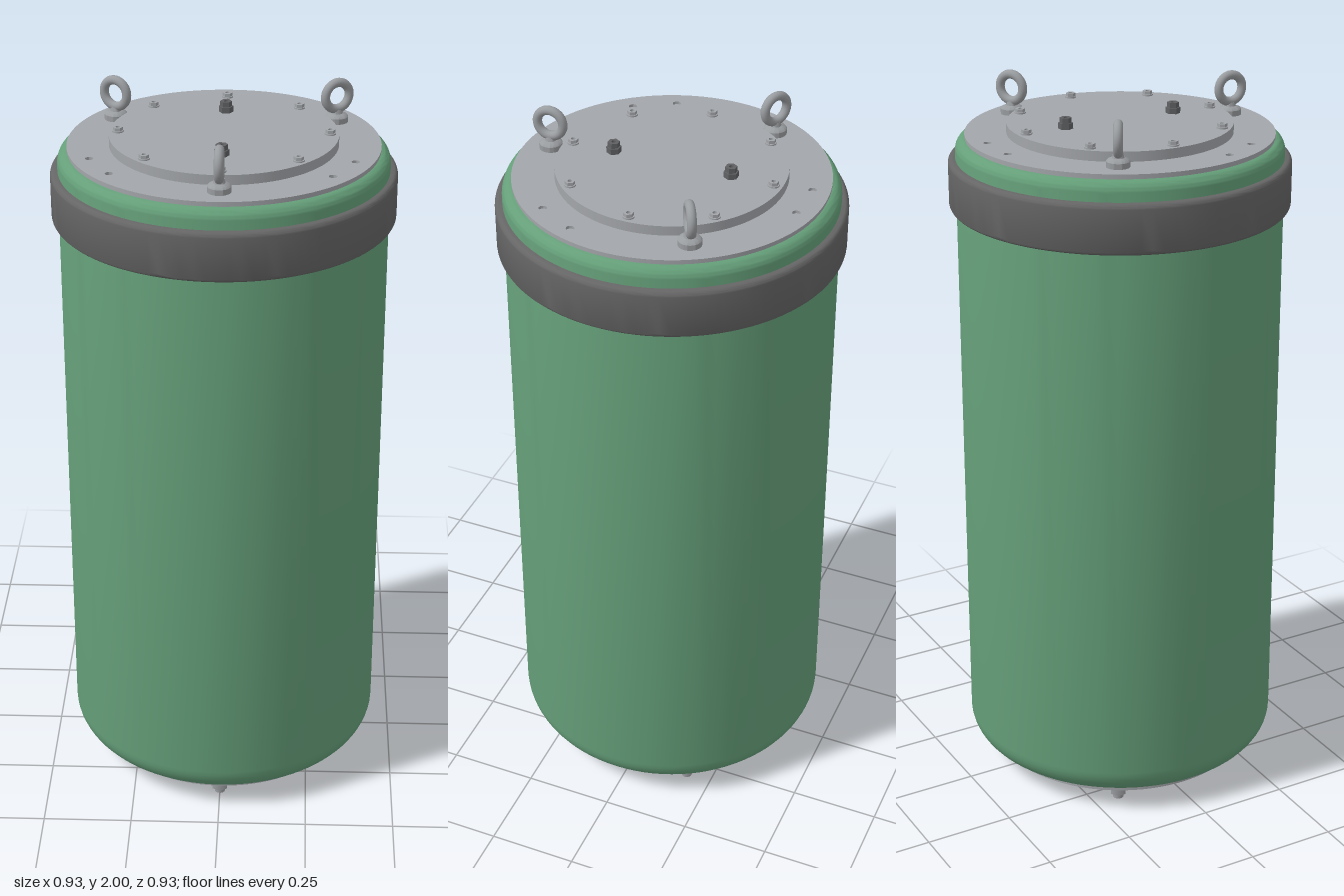
import * as THREE from 'three';
import { toCreasedNormals } from 'three/addons/utils/BufferGeometryUtils.js';

const mat = (name, color) => new THREE.MeshStandardMaterial({ name, color });

export function createModel() {
  const green = mat('green paint', 0x659f79);
  const rubber = mat('dark band', 0x666667);
  const steel = mat('steel plate', 0xa3a6aa);
  const bright = mat('eyebolt steel', 0x9a9da0);
  const dark = mat('dark stud', 0x606163);

  const model = new THREE.Group();
  model.name = 'canister';

  const add = (name, geo, material, x = 0, y = 0, z = 0, parent = model) => {
    const m = new THREE.Mesh(geo, material);
    m.name = name;
    m.position.set(x, y, z);
    parent.add(m);
    return m;
  };
  const lathe = (pts) =>
    toCreasedNormals(new THREE.LatheGeometry(pts.map(([x, y]) => new THREE.Vector2(x, y)), 96), 0.6);
  // Points along a quarter fillet
  const fillet = (cx, cy, r, from, to, n = 10) =>
    Array.from({ length: n + 1 }, (_, i) => {
      const a = from + ((to - from) * i) / n;
      return [cx + r * Math.cos(a), cy + r * Math.sin(a)];
    });
  const disc = (r, h, sides = 96) => new THREE.CylinderGeometry(r, r, h, sides);
  // Upright extruded plate with round holes, base at y = 0
  const plate = (outline, holes, h) => {
    const s = new THREE.Shape(outline);
    for (const [x, z, r] of holes) {
      const p = new THREE.Path();
      p.absarc(x, -z, r, 0, Math.PI * 2, true);
      s.holes.push(p);
    }
    const g = new THREE.ExtrudeGeometry(s, { depth: h, bevelEnabled: false, curveSegments: 12 });
    g.rotateX(-Math.PI / 2);
    return toCreasedNormals(g, 0.6);
  };
  const ngon = (r, n) =>
    Array.from({ length: n }, (_, i) =>
      new THREE.Vector2(r * Math.cos((i * 2 * Math.PI) / n), r * Math.sin((i * 2 * Math.PI) / n)));
  const hexNut = (r, hole, h) => plate(ngon(r, 6), [[0, 0, hole]], h);

  // Body with rounded bottom and shoulder
  add('body', lathe([
    [0, 0.05],
    ...fillet(0.36, 0.135, 0.085, -Math.PI / 2, 0),
    ...fillet(0.413, 1.833, 0.032, 0, Math.PI / 2),
    [0, 1.865],
  ]), green);

  // Band around the top
  const q = Math.PI / 2;
  add('topBand', lathe([
    [0.44, 1.675],
    ...fillet(0.451, 1.689, 0.014, -q, 0, 5),
    ...fillet(0.451, 1.798, 0.014, 0, q, 5),
    [0.44, 1.812],
  ]), rubber);

  // Lid flange with six bolt holes in three pairs
  const holes = [];
  for (let i = 0; i < 3; i++) {
    for (const d of [-0.163, 0.163]) {
      const a = -q + (i * 2 * Math.PI) / 3 + d;
      holes.push([0.372 * Math.cos(a), 0.372 * Math.sin(a), 0.011]);
    }
  }
  add('flangeBase', disc(0.417, 0.006), steel, 0, 1.867, 0);
  add('flange', plate(ngon(0.419, 96), holes, 0.008), steel, 0, 1.87, 0);
  add('lid', disc(0.306, 0.028), steel, 0, 1.891, 0);

  // Ring of lid bolts
  const boltGeo = hexNut(0.0135, 0.006, 0.01);
  for (let i = 0; i < 8; i++) {
    const a = (i * Math.PI) / 4;
    const x = 0.282 * Math.cos(a), z = 0.282 * Math.sin(a);
    add('lidBoltWasher', disc(0.0155, 0.004, 24), steel, x, 1.907, z);
    add('lidBolt', boltGeo, steel, x, 1.908, z);
  }

  // Two dark studs
  for (const z of [-0.165, 0.165]) {
    add('studNut', hexNut(0.02, 0.008, 0.016), dark, 0, 1.905, z);
    add('studTip', hexNut(0.016, 0.006, 0.014), dark, 0, 1.921, z);
    add('studCore', disc(0.008, 0.022, 16), dark, 0, 1.916, z);
  }

  // Eyebolts above and feet below share three directions
  for (let i = 0; i < 3; i++) {
    const a = q + (i * 2 * Math.PI) / 3;
    const x = 0.348 * Math.cos(a), z = 0.348 * Math.sin(a);
    const eye = new THREE.Group();
    eye.name = 'eyebolt';
    eye.position.set(x, 1.877, z);
    eye.rotation.y = -a;
    model.add(eye);
    add('eyeboltCollar', lathe([[0, 0], [0.031, 0], [0.031, 0.016], [0.027, 0.021],
      [0.016, 0.025], [0.013, 0.036], [0, 0.036]]), bright, 0, 0, 0, eye);
    add('eyeboltRing', new THREE.TorusGeometry(0.037, 0.0125, 16, 48), bright, 0, 0.0735, 0, eye);

    add('footNut', disc(0.024, 0.022, 6).toNonIndexed(), bright, x, 0.025, z);
    add('footTip', disc(0.015, 0.016, 20), bright, x, 0.008, z);
  }

  // Bottom plate and its six small rivets
  add('bottomPlate', disc(0.373, 0.018), steel, 0, 0.043, 0);
  for (let i = 0; i < 6; i++) {
    const a = (i * Math.PI) / 3;
    add('bottomRivet', disc(0.008, 0.006, 16), bright, 0.127 * Math.cos(a), 0.032, 0.127 * Math.sin(a));
  }
  return model;
}
